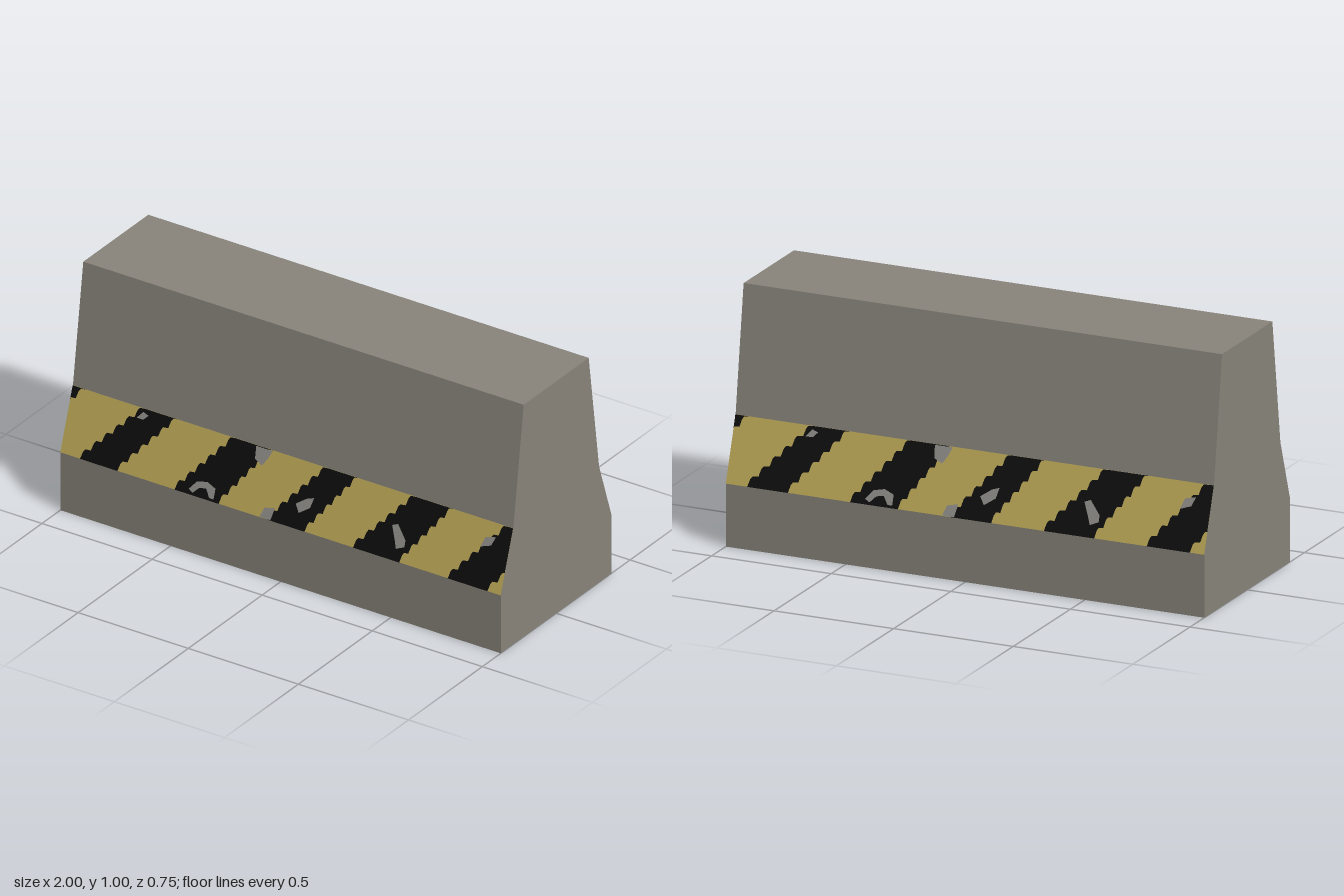
import * as THREE from 'three';

const mat = (name, color, extra = {}) => {
  const m = new THREE.MeshStandardMaterial({ color, ...extra });
  m.name = name;
  return m;
};

// The painted band lies on the slope between these heights
const LOW = 0.25, HIGH = 0.5, Z_LOW = 0.375, Z_HIGH = 0.29;
const slopeZ = (y) => Z_LOW + ((y - LOW) / (HIGH - LOW)) * (Z_HIGH - Z_LOW);

// Flat paint patch given as (x, y) outline, laid onto the slope
function paint(name, points, material, lift) {
  const geo = new THREE.ShapeGeometry(new THREE.Shape(points.map(([x, y]) => new THREE.Vector2(x, y))));
  const pos = geo.attributes.position;
  for (let i = 0; i < pos.count; i++) pos.setZ(i, slopeZ(pos.getY(i)) + lift);
  geo.computeVertexNormals();
  const mesh = new THREE.Mesh(geo, material);
  mesh.name = name;
  return mesh;
}

// Ragged staircase edge rising from xLow to xHigh, kept within the ends
function steppedEdge(xLow, xHigh, steps = 6) {
  const dx = (xHigh - xLow) / steps, dy = (HIGH - LOW) / steps, out = [];
  for (let i = 0; i < steps; i++) {
    for (const [u, v] of [[0, 0], [0.2, 0.7], [0.4, 0.95]]) {
      out.push([xLow + (i + u) * dx, LOW + (i + v) * dy]);
    }
  }
  out.push([xHigh, HIGH]);
  return out.map(([x, y]) => [THREE.MathUtils.clamp(x, -1, 1), y]);
}

// Stripes: left and right at the bottom, then left and right at the top
const STRIPES = [
  [-1.33, -1.16, -1.09, -0.94],
  [-0.91, -0.74, -0.67, -0.52],
  [-0.48, -0.28, -0.26, -0.09],
  [-0.06, 0.11, 0.16, 0.30],
  [0.33, 0.54, 0.56, 0.73],
  [0.76, 0.94, 0.98, 1.16],
];

// Spots where the paint has worn through
const CHIPS = [
  [[-0.42, 0.27], [-0.39, 0.305], [-0.345, 0.315], [-0.305, 0.30], [-0.305, 0.26], [-0.325, 0.26],
    [-0.345, 0.29], [-0.375, 0.285], [-0.4, 0.26]],
  [[-0.165, 0.498], [-0.09, 0.498], [-0.105, 0.465], [-0.125, 0.435], [-0.16, 0.45]],
  [[-0.095, 0.252], [-0.08, 0.29], [-0.035, 0.30], [-0.045, 0.252]],
  [[0.05, 0.34], [0.095, 0.37], [0.125, 0.38], [0.115, 0.34], [0.07, 0.31]],
  [[0.48, 0.375], [0.505, 0.385], [0.55, 0.335], [0.55, 0.31], [0.515, 0.295], [0.505, 0.32]],
  [[0.875, 0.40], [0.89, 0.44], [0.935, 0.45], [0.92, 0.415]],
  [[-0.70, 0.46], [-0.675, 0.488], [-0.65, 0.48], [-0.67, 0.46]],
];

export function createModel() {
  const concrete = mat('concrete', 0x88847a);
  const yellow = mat('yellow paint', 0xb8a555);
  const black = mat('black paint', 0x0d0d0d);
  const worn = mat('worn paint', 0x8b8a85);

  const group = new THREE.Group();
  group.name = 'roadBarrier';

  // Concrete body: symmetric profile extruded along x
  const half = [[0.375, 0], [Z_LOW, LOW], [Z_HIGH, HIGH], [0.22, 1]];
  const outline = [...half, ...half.map(([z, y]) => [-z, y]).reverse()];
  const profile = new THREE.Shape(outline.map(([z, y]) => new THREE.Vector2(z, y)));
  const bodyGeo = new THREE.ExtrudeGeometry(profile, { depth: 2, bevelEnabled: false });
  bodyGeo.translate(0, 0, -1).rotateY(Math.PI / 2);
  const body = new THREE.Mesh(bodyGeo, concrete);
  body.name = 'body';
  group.add(body);

  // Warning band on each side, the back one turned half round
  for (const [name, turn] of [['frontBand', 0], ['backBand', Math.PI]]) {
    const band = new THREE.Group();
    band.name = name;
    band.add(paint('yellowBase', [[-1, LOW], [1, LOW], [1, HIGH], [-1, HIGH]], yellow, 0.001));
    for (const [bl, br, tl, tr] of STRIPES) {
      const edge = [...steppedEdge(br, tr), ...steppedEdge(bl, tl).reverse()];
      band.add(paint('blackStripe', edge, black, 0.002));
    }
    for (const chip of CHIPS) band.add(paint('wornSpot', chip, worn, 0.003));
    band.rotation.y = turn;
    group.add(band);
  }
  return group;
}
